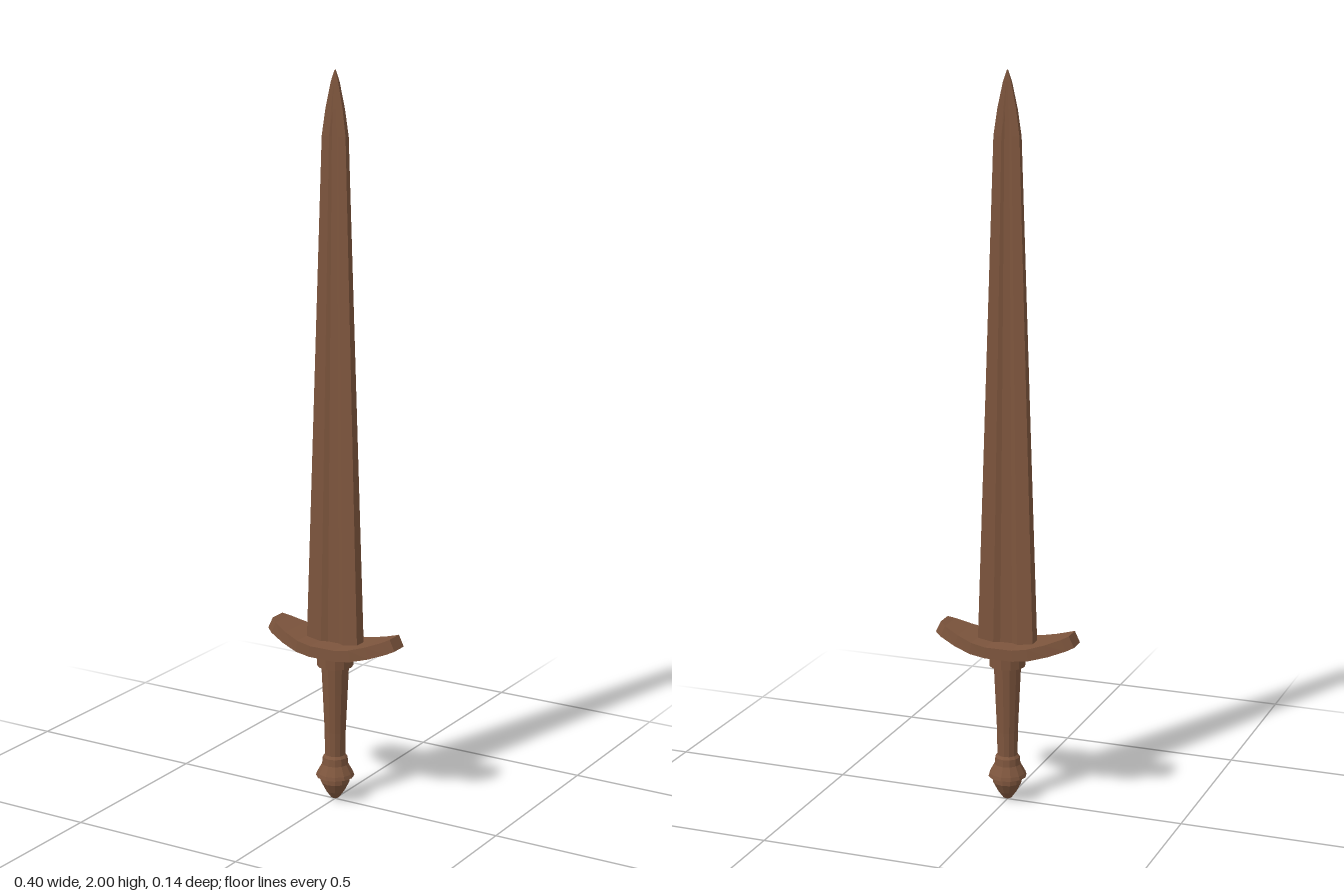
import * as THREE from 'three';

// Skins a list of closed rings (counter-clockwise seen from the end of the path) and caps both ends.
function loft(rings, capFaces) {
  const n = rings[0].length;
  const index = [];
  for (let i = 0; i < rings.length - 1; i++) {
    for (let j = 0; j < n; j++) {
      const a = i * n + j, b = i * n + (j + 1) % n;
      index.push(a, b, b + n, a, b + n, a + n);
    }
  }
  const last = (rings.length - 1) * n;
  for (const [a, b, c] of capFaces) index.push(c, b, a, last + a, last + b, last + c);
  const geo = new THREE.BufferGeometry();
  geo.setAttribute('position', new THREE.Float32BufferAttribute(rings.flat(2), 3));
  geo.setIndex(index);
  const flat = geo.toNonIndexed();
  flat.computeVertexNormals();
  return flat;
}

export function createModel() {
  const wood = new THREE.MeshStandardMaterial({ color: 0x7d553d, flatShading: true });
  const group = new THREE.Group();
  const add = (name, geo) => {
    const mesh = new THREE.Mesh(geo, wood);
    mesh.name = name;
    group.add(mesh);
  };

  // Blade: flat-edged section with a fuller on both faces.
  // [y, half width, half thickness, fuller half width, fuller half thickness]
  const bladeRings = [
    [0.44, 0.08, 0.018, 0.035, 0.01],
    [1.83, 0.036, 0.008, 0.014, 0.005],
    [1.9, 0.026, 0.006, 0.009, 0.005],
    [1.97, 0.011, 0.004, 0.004, 0.004],
    [2.0, 0.001, 0.002, 0.0005, 0.002],
  ].map(([y, w, t, f, g]) => [
    [w, y, t], [w, y, -t], [f, y, -t], [f * 0.5, y, -g], [-f * 0.5, y, -g], [-f, y, -t],
    [-w, y, -t], [-w, y, t], [-f, y, t], [-f * 0.5, y, g], [f * 0.5, y, g], [f, y, t],
  ]);
  add('blade', loft(bladeRings, [
    [0, 1, 2], [0, 2, 11], [11, 2, 3], [11, 3, 10], [10, 3, 4],
    [10, 4, 9], [9, 4, 5], [9, 5, 8], [8, 5, 6], [8, 6, 7],
  ]));

  // Crossguard: boat-shaped plate, curved up towards both ends.
  // [bottom x, bottom y, top x, top y, half depth]
  const half = [
    [0.04, 0.426, 0.038, 0.457, 0.07],
    [0.085, 0.432, 0.08, 0.464, 0.067],
    [0.135, 0.445, 0.125, 0.477, 0.054],
    [0.182, 0.462, 0.168, 0.493, 0.038],
    [0.2, 0.47, 0.185, 0.501, 0.025],
  ];
  const mirrored = half.map(([bx, by, tx, ty, d]) => [-bx, by, -tx, ty, d]).reverse();
  const guardRings = [...mirrored, ...half].map(([bx, by, tx, ty, d]) => [
    [bx, by, d], [bx, by, -d], [tx, ty, -d], [tx, ty, d],
  ]);
  add('crossguard', loft(guardRings, [[0, 1, 2], [0, 2, 3]]));

  // Turned handle parts.
  const turn = (name, profile) =>
    add(name, new THREE.LatheGeometry(profile.map(([r, y]) => new THREE.Vector2(r, y)), 12));
  turn('collar', [[0, 0.39], [0.05, 0.39], [0.05, 0.43], [0, 0.43]]);
  turn('grip', [[0.028, 0.12], [0.029, 0.2], [0.034, 0.31], [0.038, 0.395]]);
  turn('pommel', [
    [0, 0], [0.012, 0.006], [0.026, 0.025], [0.04, 0.052], [0.04, 0.066],
    [0.053, 0.07], [0.05, 0.08], [0.036, 0.105], [0.034, 0.125], [0.026, 0.135],
  ]);

  return group;
}
